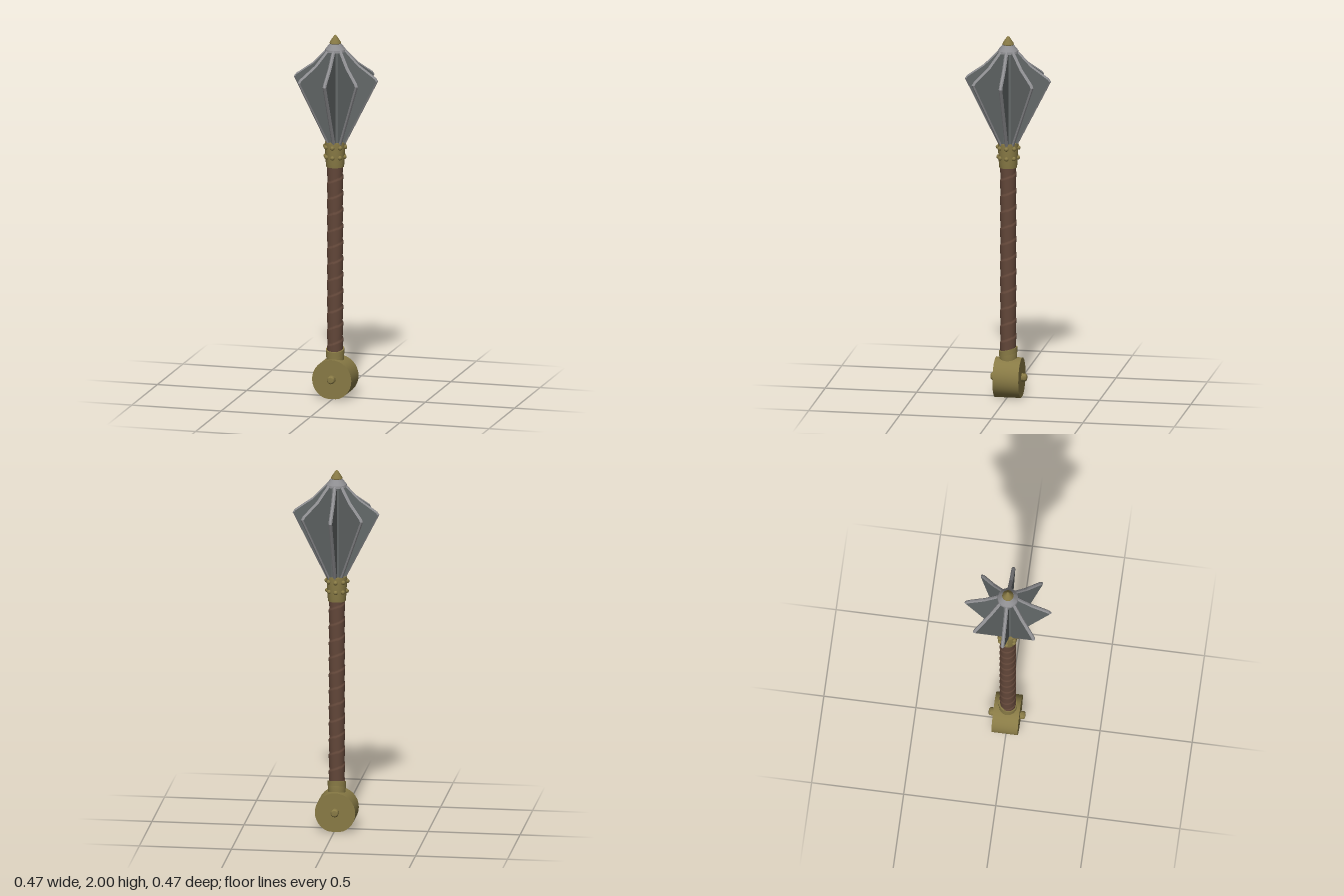
import * as THREE from 'three';
import { toCreasedNormals } from 'three/addons/utils/BufferGeometryUtils.js';

export function createModel() {
  const model = new THREE.Group();
  const material = (name, color) => {
    const m = new THREE.MeshStandardMaterial({ color });
    m.name = name;
    return m;
  };
  const brass = material('brass', 0x887a45);
  const leather = material('leather', 0x64483a);
  const steel = material('steel', 0x8e8e91);
  const darkSteel = material('darkSteel', 0x646969);

  const add = (name, geometry, mat, x = 0, y = 0, z = 0, parent = model) => {
    const mesh = new THREE.Mesh(geometry, mat);
    mesh.name = name;
    mesh.position.set(x, y, z);
    parent.add(mesh);
    return mesh;
  };
  const lathe = (points, segments = 24) => toCreasedNormals(
    new THREE.LatheGeometry(points.map(p => new THREE.Vector2(...p)), segments), 0.5);
  const cx = -0.005; // shaft centre

  // Drum pommel lying along z, flattened where it rests
  const drum = new THREE.CylinderGeometry(0.11, 0.11, 0.142, 32).rotateX(Math.PI / 2);
  const dp = drum.attributes.position;
  for (let i = 0; i < dp.count; i++) dp.setY(i, Math.max(dp.getY(i), -0.105));
  add('pommel', toCreasedNormals(drum, 0.35), brass, cx, 0.105, -0.004);

  // Pin through the pommel with softly rounded ends
  const pin = lathe([[0, -0.1], [0.016, -0.098], [0.022, -0.09],
    [0.022, 0.09], [0.016, 0.098], [0, 0.1]], 16).rotateX(Math.PI / 2);
  add('pommelPin', pin, brass, cx, 0.108, -0.004);

  // Collar between pommel and grip, with a slanted upper rim
  add('lowerCollar', lathe([[0.046, 0.19], [0.049, 0.24], [0.046, 0.255], [0.03, 0.255]]), brass, cx);
  const rim = new THREE.CylinderGeometry(0.05, 0.05, 0.028, 24);
  const rp = rim.attributes.position;
  for (let i = 0; i < rp.count; i++) rp.setY(i, rp.getY(i) - rp.getZ(i) * 0.25);
  add('collarRim', toCreasedNormals(rim, 0.5), brass, cx, 0.25, 0);

  // Leather grip: a spiral wrap with overlapping turns
  const grip = new THREE.CylinderGeometry(1, 1, 1.04, 32, 160, true);
  const gp = grip.attributes.position;
  for (let i = 0; i < gp.count; i++) {
    const x = gp.getX(i), y = gp.getY(i), z = gp.getZ(i);
    const turn = y / 0.09 + Math.atan2(z, x) / (2 * Math.PI) + 20;
    const r = 0.0405 + 0.0045 * (turn - Math.floor(turn));
    gp.setXYZ(i, x * r, y, z * r);
  }
  grip.computeVertexNormals();
  add('grip', grip, leather, cx, 0.77, 0);

  // Studded ferrule below the head
  add('ferrule', lathe([[0.03, 1.272], [0.048, 1.272], [0.05, 1.29],
    [0.056, 1.395], [0.055, 1.41], [0.03, 1.41]]), brass, cx);
  const studs = new THREE.Group();
  studs.name = 'ferruleStuds';
  studs.position.x = cx;
  model.add(studs);
  const studGeometry = new THREE.SphereGeometry(0.012, 10, 8);
  for (const [y, r] of [[1.328, 0.053], [1.383, 0.056]]) {
    for (let i = 0; i < 8; i++) {
      const a = i * Math.PI / 4;
      add('stud', studGeometry, brass, Math.sin(a) * r, y, Math.cos(a) * r, studs);
    }
  }

  // Core of the head
  add('headCore', lathe([[0.042, 1.4], [0.042, 1.92]]), darkSteel);

  // Eight flanges with dark faces and bright chamfered edges
  const outline = new THREE.Shape([[0.02, 1.4], [0.045, 1.4], [0.227, 1.757],
    [0.218, 1.77], [0.125, 1.836], [0.045, 1.92], [0.02, 1.92]]
    .map(p => new THREE.Vector2(...p)));
  const flange = new THREE.ExtrudeGeometry(outline, {
    depth: 0.008, bevelEnabled: true, bevelThickness: 0.006,
    bevelSize: 0.007, bevelSegments: 1,
  }).translate(0, 0, -0.004);
  for (let i = 0; i < 8; i++) {
    add('flange', flange, [darkSteel, steel]).rotation.y = i * Math.PI / 4;
  }

  // Steel cap and brass finial
  add('headCap', lathe([[0.03, 1.905], [0.057, 1.91], [0.055, 1.922],
    [0.031, 1.952], [0, 1.954]]), steel, -0.003);
  add('finial', lathe([[0.024, 1.945], [0.031, 1.955], [0.029, 1.963],
    [0.006, 1.997], [0, 2]], 20), brass, -0.004);

  return model;
}
